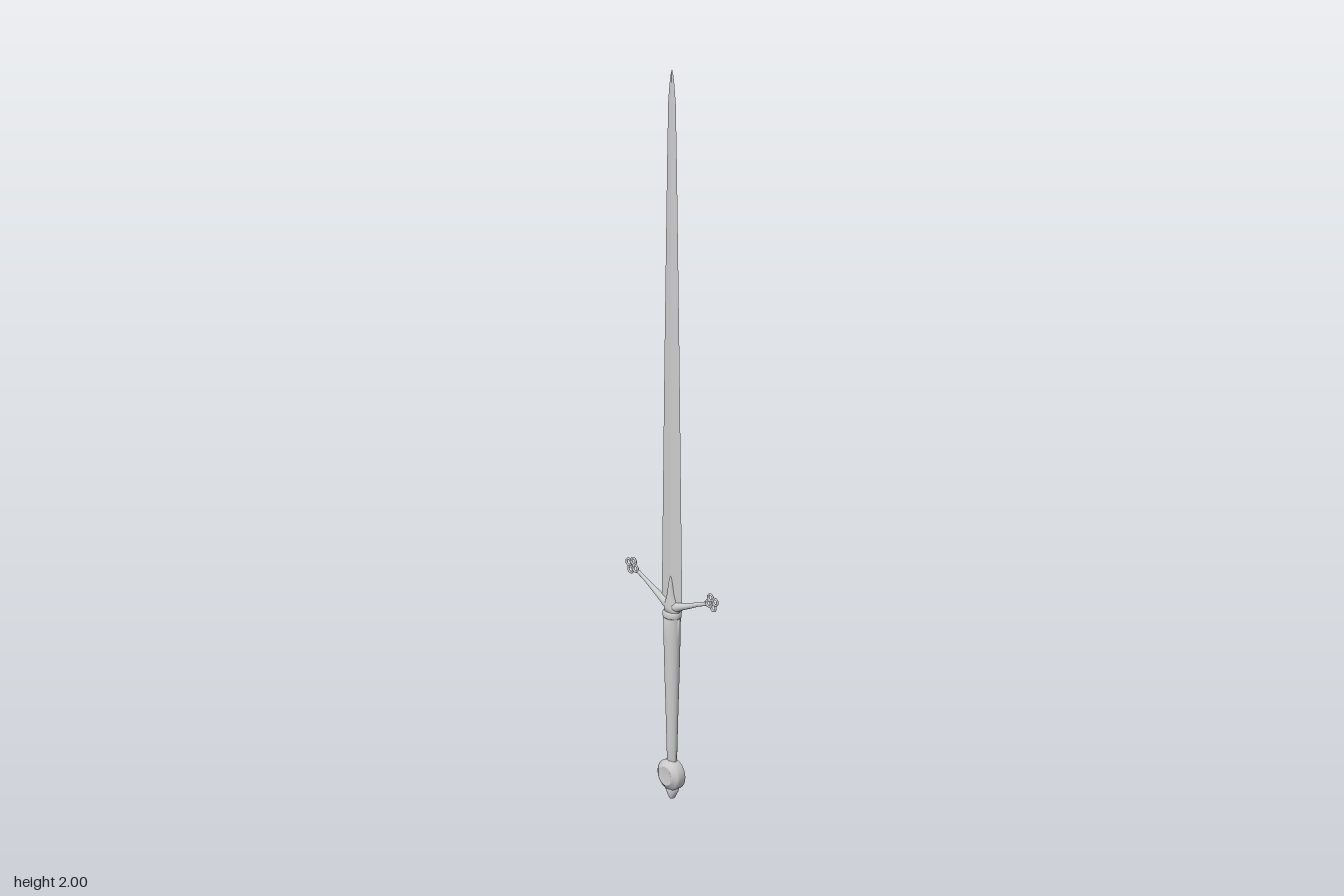
import * as THREE from 'three';

const V = (x, y, z) => new THREE.Vector3(x, y, z);
const metal = new THREE.MeshStandardMaterial({ color: 0xcccccc });
const flatMetal = new THREE.MeshStandardMaterial({ color: 0xcccccc, flatShading: true });

// Skins elliptical sections { c: centre, u, v: half axes }, u x v pointing along the path
function loft(sections, n) {
  const pos = [], idx = [];
  for (const { c, u, v } of sections) {
    for (let i = 0; i < n; i++) {
      const a = (i / n) * Math.PI * 2;
      const p = c.clone().addScaledVector(u, Math.cos(a)).addScaledVector(v, Math.sin(a));
      pos.push(p.x, p.y, p.z);
    }
  }
  for (let r = 0; r < sections.length - 1; r++) {
    for (let i = 0; i < n; i++) {
      const a = r * n + i, b = r * n + (i + 1) % n;
      idx.push(a, b, b + n, a, b + n, a + n);
    }
  }
  // end caps
  const last = (sections.length - 1) * n;
  for (let i = 1; i < n - 1; i++) {
    idx.push(0, i + 1, i, last, last + i, last + i + 1);
  }
  const g = new THREE.BufferGeometry();
  g.setAttribute('position', new THREE.Float32BufferAttribute(pos, 3));
  g.setIndex(idx);
  g.computeVertexNormals();
  return g;
}

// Upright loft from rows of [y, half width in z, half thickness in x]
const upright = (rows, n) =>
  loft(rows.map(([y, z, x]) => ({ c: V(0, y, 0), u: V(0, 0, z), v: V(x, 0, 0) })), n);

export function createModel() {
  const sword = new THREE.Group();
  sword.name = 'sword';
  const add = (name, geometry, material = metal, parent = sword) => {
    const mesh = new THREE.Mesh(geometry, material);
    mesh.name = name;
    parent.add(mesh);
    return mesh;
  };

  // Diamond-section blade
  add('blade', upright([
    [0.52, 0.038, 0.005], [0.6, 0.037, 0.005], [1.2, 0.028, 0.004],
    [1.75, 0.018, 0.0035], [1.91, 0.014, 0.003], [1.96, 0.009, 0.0025],
    [1.985, 0.005, 0.002], [2, 0.0005, 0.0005],
  ], 4), flatMetal);

  // Grip and the collar above it
  add('grip', upright([
    [0.095, 0.014, 0.011], [0.15, 0.016, 0.012], [0.25, 0.019, 0.014],
    [0.35, 0.022, 0.017], [0.44, 0.024, 0.019], [0.5, 0.025, 0.02],
  ], 24));
  add('collar', upright([
    [0.497, 0.025, 0.02], [0.5, 0.027, 0.021], [0.51, 0.027, 0.021], [0.514, 0.024, 0.018],
  ], 24));

  // Guard: central spike over the blade, two rising arms, four-ring finials
  const guard = new THREE.Group();
  guard.name = 'guard';
  sword.add(guard);
  add('guardSpike', upright([
    [0.51, 0.024, 0.016], [0.525, 0.026, 0.016], [0.54, 0.019, 0.015],
    [0.56, 0.012, 0.013], [0.59, 0.007, 0.011], [0.605, 0.004, 0.008], [0.615, 0.001, 0.002],
  ], 16), metal, guard);

  for (const side of [1, -1]) {
    const lift = side > 0 ? 0 : 0.01;
    // rows of [z, y, half height, half thickness]
    const rows = [
      [0, 0.526, 0.014, 0.015], [0.02, 0.53, 0.013, 0.013], [0.04, 0.537, 0.009, 0.01],
      [0.07, 0.549, 0.007, 0.007], [0.1, 0.562, 0.0055, 0.005], [0.126, 0.572, 0.0055, 0.004],
    ];
    const tilt = 0.4;
    const along = V(0, Math.sin(tilt), side * Math.cos(tilt));
    const across = V(0, along.z, -along.y);
    add(side > 0 ? 'leftArm' : 'rightArm', loft(rows.map(([z, y, h, t]) => ({
      c: V(0, y + lift * z / 0.126, z * side),
      u: V(t, 0, 0),
      v: across.clone().multiplyScalar(h),
    })), 12), metal, guard);

    const finial = new THREE.Group();
    finial.name = side > 0 ? 'leftFinial' : 'rightFinial';
    finial.position.set(0, 0.582 + lift, 0.149 * side);
    guard.add(finial);
    for (let i = 0; i < 4; i++) {
      const ring = add('finialRing', new THREE.TorusGeometry(0.0085, 0.003, 8, 20), metal, finial);
      const dir = i % 2 ? across : along;
      ring.rotation.y = Math.PI / 2;
      ring.position.copy(dir).multiplyScalar(i < 2 ? 0.0135 : -0.0135);
    }
  }

  // Wheel pommel turned about x, with raised bevelled faces
  const profile = [
    [0, -0.021], [0.021, -0.021], [0.023, -0.023], [0.026, -0.022], [0.036, -0.013], [0.041, -0.01],
    [0.041, 0.01], [0.036, 0.013], [0.026, 0.022], [0.023, 0.023], [0.021, 0.021], [0, 0.021],
  ].map(([r, x]) => new THREE.Vector2(r, x));
  const pommel = add('pommel', new THREE.LatheGeometry(profile, 32));
  pommel.rotation.z = Math.PI / 2;
  pommel.position.set(0, 0.065, -0.002);

  // Rivet button under the pommel
  add('pommelButton', upright([
    [0, 0.006, 0.006], [0.006, 0.011, 0.009], [0.014, 0.015, 0.011],
    [0.022, 0.02, 0.012], [0.034, 0.024, 0.012],
  ], 16));

  return sword;
}
